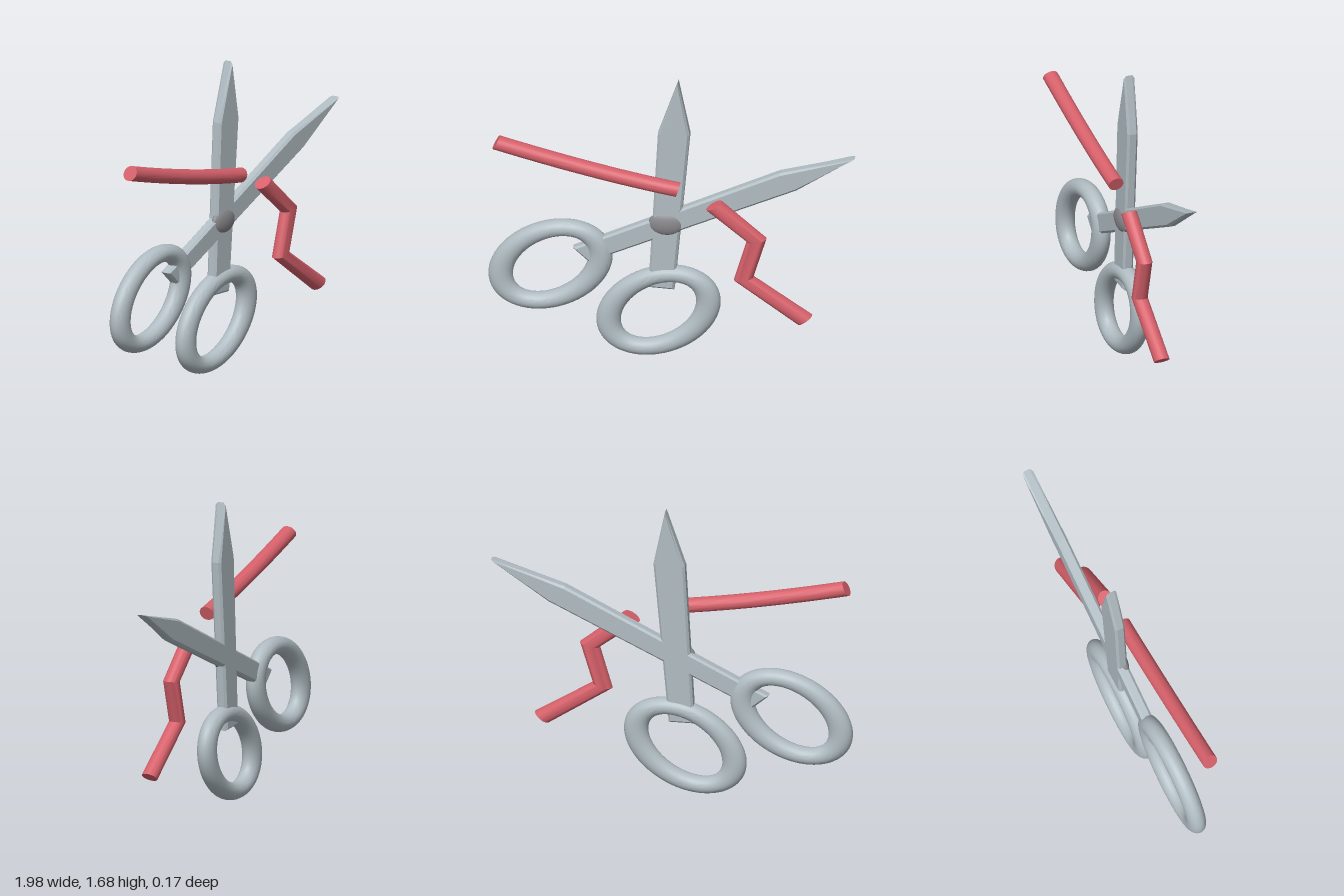
import * as THREE from 'three';
import { toCreasedNormals } from 'three/addons/utils/BufferGeometryUtils.js';

// Everything is stretched sideways and squashed a little in height
const SX = 1.32, SY = 0.94;
const SIDES = 32;

// Round tube along a flat path; open paths get end caps
function sweep(points, radius, z, closed) {
  const path = points.map(([x, y]) => new THREE.Vector2(x / SX, y / SY));
  const n = path.length, pos = [], index = [];
  const dir = (a, b) => path[b].clone().sub(path[a]).normalize();
  for (let i = 0; i < n; i++) {
    const tangent = new THREE.Vector2();
    if (closed || i > 0) tangent.add(dir((i + n - 1) % n, i));
    if (closed || i < n - 1) tangent.add(dir(i, (i + 1) % n));
    tangent.normalize();
    for (let j = 0; j < SIDES; j++) {
      const a = (j / SIDES) * Math.PI * 2, c = radius * Math.cos(a);
      pos.push(path[i].x - tangent.y * c, path[i].y + tangent.x * c, z + radius * Math.sin(a));
    }
  }
  const last = closed ? n : n - 1;
  for (let i = 0; i < last; i++) {
    for (let j = 0; j < SIDES; j++) {
      const k = (j + 1) % SIDES, m = ((i + 1) % n) * SIDES;
      const a = i * SIDES + j, b = i * SIDES + k;
      index.push(a, b, m + j, b, m + k, m + j);
    }
  }
  if (!closed) {
    const end = (n - 1) * SIDES;
    for (let j = 1; j < SIDES - 1; j++) {
      index.push(0, j + 1, j, end, end + j, end + j + 1);
    }
  }
  const geo = new THREE.BufferGeometry();
  geo.setAttribute('position', new THREE.Float32BufferAttribute(pos, 3));
  geo.setIndex(index);
  geo.scale(SX, SY, 1);
  return toCreasedNormals(geo, 0.6);
}

// Tilted oval path for a finger ring
function ovalPath(cx, cy) {
  const tilt = THREE.MathUtils.degToRad(59), pts = [];
  for (let i = 0; i < 72; i++) {
    const t = (i / 72) * Math.PI * 2;
    const u = 0.262 * Math.cos(t), v = 0.179 * Math.sin(t);
    pts.push([
      cx + SX * (u * Math.cos(tilt) - v * Math.sin(tilt)),
      cy + SY * (u * Math.sin(tilt) + v * Math.cos(tilt)),
    ]);
  }
  return pts;
}

// Pointed blade slab with chamfered edges
function bladeGeometry(outline) {
  const shape = new THREE.Shape(outline.map(([x, y]) => new THREE.Vector2(x, y)));
  const bevel = 0.012;
  const geo = new THREE.ExtrudeGeometry(shape, {
    depth: 0.06 - 2 * bevel,
    bevelEnabled: true,
    bevelThickness: bevel,
    bevelSize: bevel,
    bevelOffset: -bevel,
    bevelSegments: 1,
  });
  geo.translate(0, 0, -0.065 + bevel);
  return geo;
}

export function createModel() {
  const steel = new THREE.MeshStandardMaterial({ color: 0xb0bcc2 });
  steel.name = 'steel';
  const rivet = new THREE.MeshStandardMaterial({ color: 0x88888c });
  rivet.name = 'dark rivet grey';
  const red = new THREE.MeshStandardMaterial({ color: 0xd6606a });
  red.name = 'thread red';

  const model = new THREE.Group();
  model.name = 'scissorsAndThread';
  const add = (name, geo, mat) => {
    const mesh = new THREE.Mesh(geo, mat);
    mesh.name = name;
    model.add(mesh);
    return mesh;
  };

  // Crossed blades: shank end, shoulders, tip
  add('uprightBlade', bladeGeometry([
    [-0.13, 0.425], [0.01, 0.42], [0.094, 1.37], [0.03, 1.69], [-0.078, 1.37],
  ]), steel);
  add('slantedBlade', bladeGeometry([
    [-0.537, 0.636], [-0.45, 0.556], [0.67, 1.075], [0.985, 1.29], [0.58, 1.175],
  ]), steel);

  // Finger rings
  add('lowerRing', sweep(ovalPath(-0.077, 0.28), 0.05, -0.035, true), steel);
  add('outerRing', sweep(ovalPath(-0.66, 0.52), 0.05, -0.035, true), steel);

  // Domed pivot
  const pivot = add('pivot', new THREE.SphereGeometry(1, 40, 24), rivet);
  pivot.scale.set(0.095, 0.068, 0.032);
  pivot.position.set(-0.035, 0.818, -0.02);

  // Cut thread: a gently curved piece and a zigzag piece
  const curve = new THREE.QuadraticBezierCurve(
    new THREE.Vector2(-0.944, 1.286),
    new THREE.Vector2(-0.39, 1.135),
    new THREE.Vector2(0.04, 1.067),
  );
  add('curvedThread', sweep(curve.getPoints(12).map((p) => [p.x, p.y]), 0.042, 0.043, false), red);
  add('zigzagThread', sweep([
    [0.233, 0.984], [0.463, 0.791], [0.393, 0.551], [0.725, 0.321],
  ], 0.042, 0.043, false), red);

  return model;
}
